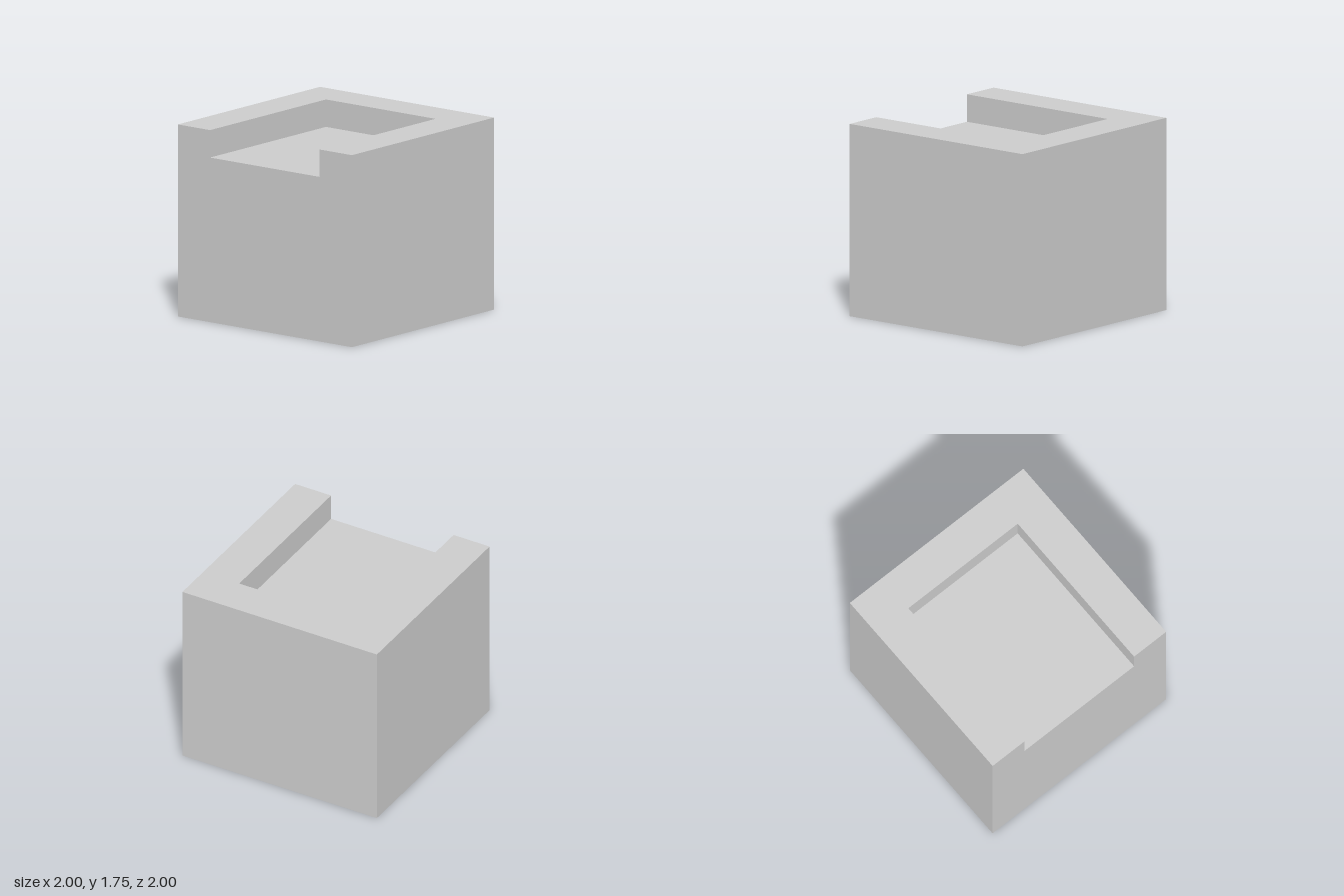
import * as THREE from 'three';

const H = 1.75;   // full height
const F = 1.5;    // recess floor height
const W = 0.63;   // recess half width and inner end
const material = new THREE.MeshStandardMaterial({ color: 0xcccccc, flatShading: true });

// Maps a counter-clockwise 2D outline onto a plane at offset c, facing the named way
const facing = {
  up: (u, v, c) => [u, c, -v],
  down: (u, v, c) => [u, c, v],
  front: (u, v, c) => [u, v, c],
  back: (u, v, c) => [-u, v, c],
  plusX: (u, v, c) => [c, v, -u],
  minusX: (u, v, c) => [c, v, u],
};

const rect = (u0, v0, u1, v1) => [[u0, v0], [u1, v0], [u1, v1], [u0, v1]];

function face(name, direction, c, outline) {
  const points = outline.map(([u, v]) => new THREE.Vector2(u, v));
  const corners = THREE.ShapeUtils.triangulateShape(points, []).flat();
  const positions = corners.flatMap((i) => facing[direction](points[i].x, points[i].y, c));
  const geometry = new THREE.BufferGeometry();
  geometry.setAttribute('position', new THREE.Float32BufferAttribute(positions, 3));
  geometry.computeVertexNormals();
  const mesh = new THREE.Mesh(geometry, material);
  mesh.name = name;
  return mesh;
}

export function createModel() {
  const group = new THREE.Group();
  group.name = 'notchedBlock';

  // Outer sides of the block
  const side = rect(-1, 0, 1, H);
  group.add(
    face('bottom', 'down', 0, rect(-1, -1, 1, 1)),
    face('frontSide', 'front', 1, side),
    face('backSide', 'back', -1, side),
    face('leftSide', 'plusX', 1, side),
  );

  // Notched side, where the recess runs out
  group.add(face('notchedSide', 'minusX', -1,
    [[-1, 0], [1, 0], [1, H], [W, H], [W, F], [-W, F], [-W, H], [-1, H]]));

  // C-shaped rim on top
  group.add(face('rim', 'up', H,
    [[-1, -1], [1, -1], [1, 1], [-1, 1], [-1, W], [W, W], [W, -W], [-1, -W]]));

  // Recess floor and its three walls
  group.add(
    face('recessFloor', 'up', F, rect(-1, -W, W, W)),
    face('recessEndWall', 'minusX', W, rect(-W, F, W, H)),
    face('recessBackWall', 'front', -W, rect(-1, F, W, H)),
    face('recessFrontWall', 'back', W, rect(-W, F, 1, H)),
  );
  return group;
}
